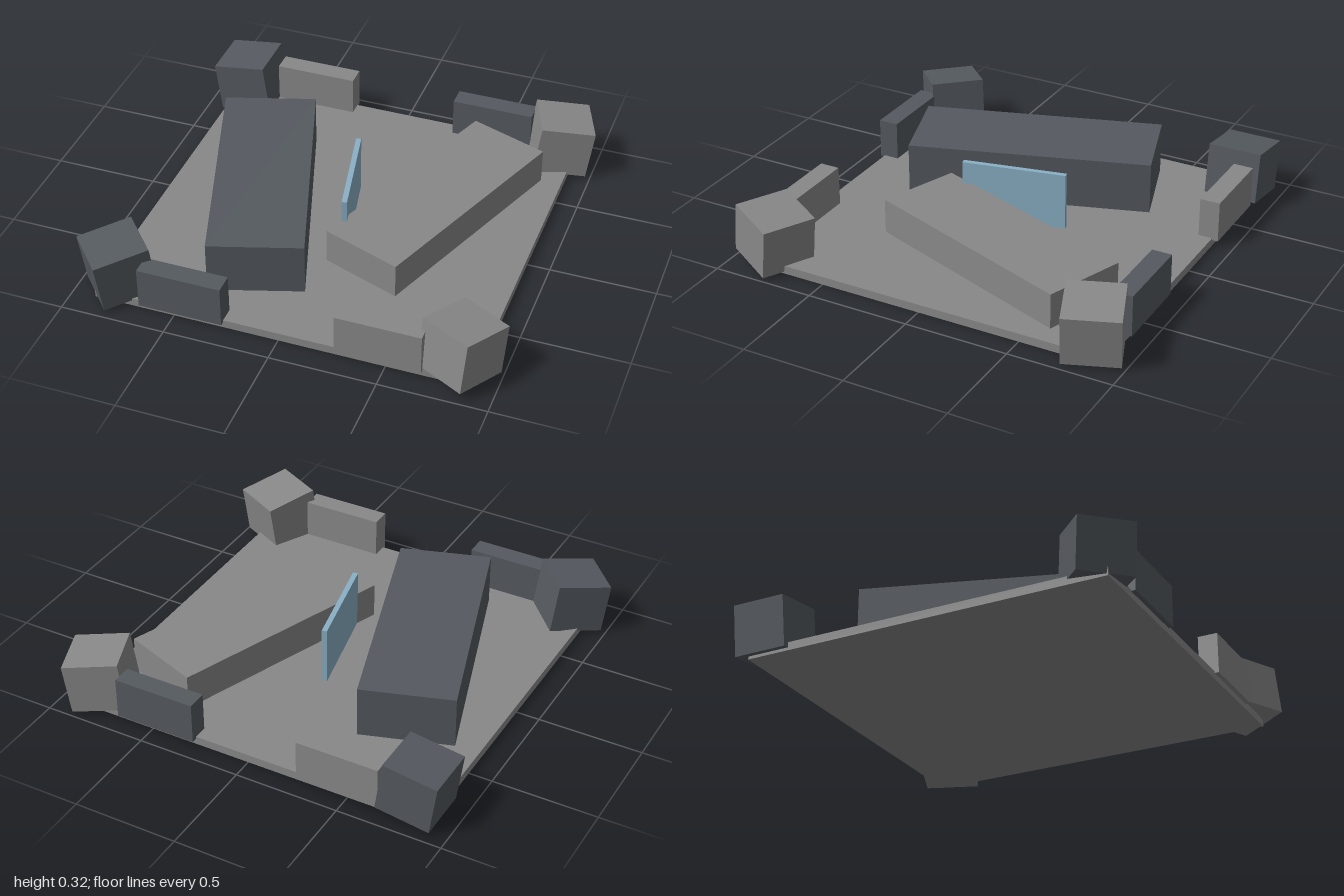
import * as THREE from 'three';

const stone = new THREE.MeshStandardMaterial({ color: 0x888888 });
const slate = new THREE.MeshStandardMaterial({ color: 0x555a60 });
const glass = new THREE.MeshStandardMaterial({ color: 0x8ab0c6 });
const deg = THREE.MathUtils.degToRad;

export function createModel() {
  const model = new THREE.Group();
  model.name = 'arena';

  // Adds a box by size and centre, turned about y and leaning in its own frame
  const box = (name, material, size, centre, yaw = 0, lean = 0) => {
    const mesh = new THREE.Mesh(new THREE.BoxGeometry(...size), material);
    mesh.name = name;
    mesh.position.set(...centre);
    mesh.rotation.set(0, deg(yaw), deg(lean), 'YXZ');
    model.add(mesh);
  };

  // Floor slab
  box('floor', stone, [1.78, 0.04, 1.78], [0.002, 0.02, -0.01]);

  // Two long blocks and the thin panel between them
  box('tallBlock', slate, [0.443, 0.25, 1.167], [-0.38, 0.165, 0.085], 18);
  box('lowBlock', stone, [0.403, 0.17, 1.133], [0.408, 0.125, -0.136], -20);
  box('glassPanel', glass, [0.025, 0.28, 0.5], [0.025, 0.18, -0.012], 12);

  // Low walls along the front and back edges, alternating in tone
  for (const x of [-1, 1]) {
    for (const z of [-1, 1]) {
      const name = `${z > 0 ? 'front' : 'back'}${x > 0 ? 'Left' : 'Right'}Wall`;
      box(name, x * z < 0 ? slate : stone, [0.4, 0.2, 0.097],
        [x * 0.465 + 0.004, 0.13, z * 0.867 - 0.013]);
    }
  }

  // Leaning corner blocks: name, material, x, z, yaw
  const corners = [
    ['backRightCorner', slate, -0.805, -0.82, 0],
    ['frontRightCorner', slate, -0.806, 0.795, 42],
    ['backLeftCorner', stone, 0.825, -0.822, 201],
    ['frontLeftCorner', stone, 0.82, 0.796, 243],
  ];
  for (const [name, material, x, z, yaw] of corners) {
    box(name, material, [0.262, 0.245, 0.262], [x, 0.15, z], yaw, 8);
  }

  return model;
}
